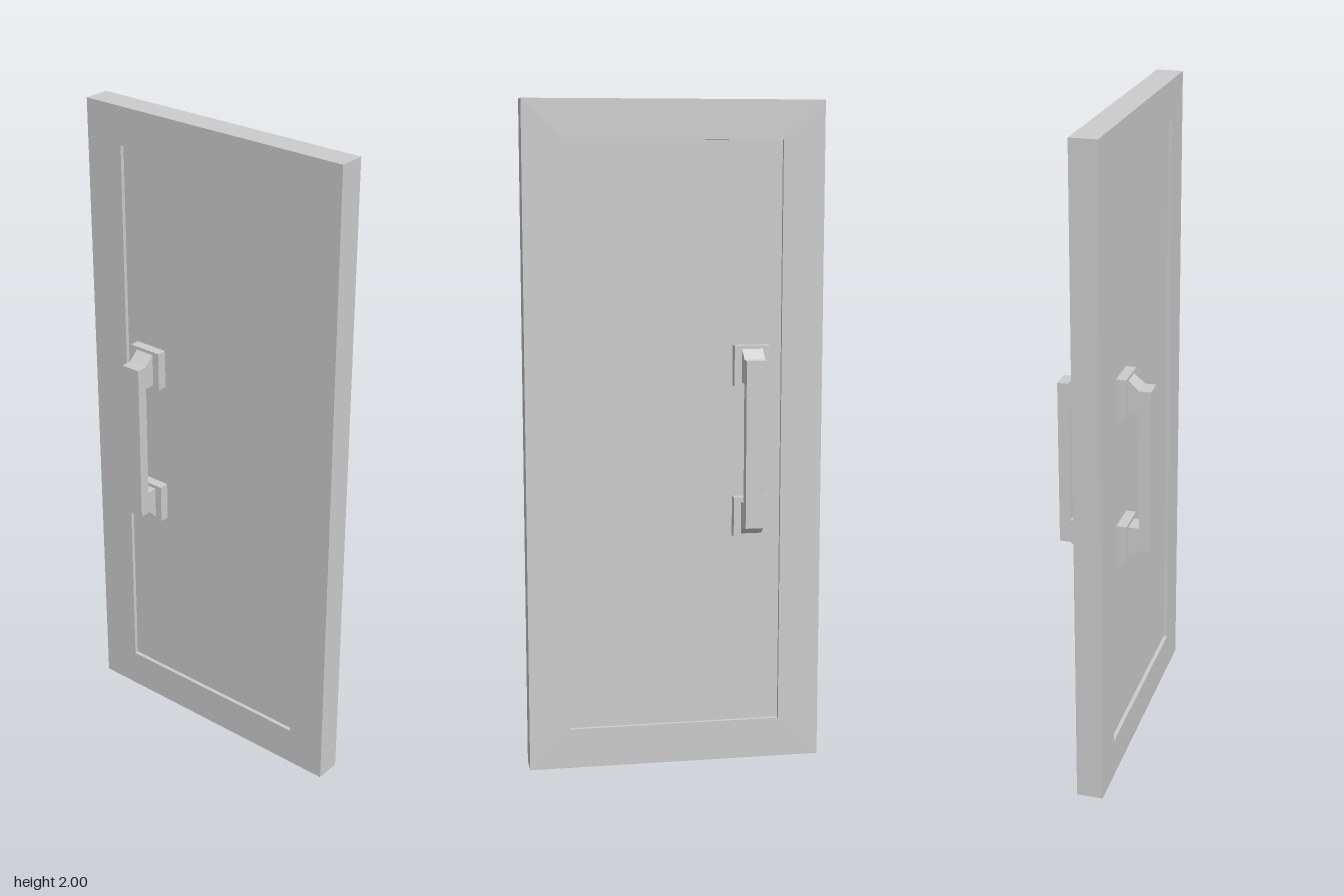
import * as THREE from 'three';

const grey = new THREE.MeshStandardMaterial({ color: 0xcccccc });
grey.name = 'plain grey';

// Slab faces and panel recess depth
const BACK = -0.047, FRONT = 0.033, RECESS = 0.012;

function part(name, geometry, x = 0, y = 0, z = 0) {
  const mesh = new THREE.Mesh(geometry, grey);
  mesh.name = name;
  mesh.position.set(x, y, z);
  return mesh;
}

function polygon(points, Type = THREE.Shape) {
  return new Type(points.map(([x, y]) => new THREE.Vector2(x, y)));
}

function rect(x0, y0, x1, y1, Type) {
  return polygon([[x0, y0], [x1, y0], [x1, y1], [x0, y1]], Type);
}

// Door leaf: a full-thickness frame around a thinner panel
function makeLeaf() {
  const leaf = new THREE.Group();
  leaf.name = 'doorLeaf';
  const outline = rect(-0.447, 0, 0.447, 2);
  outline.holes.push(rect(-0.325, 0.122, 0.322, 1.885, THREE.Path));
  const frame = new THREE.ExtrudeGeometry(outline, { depth: FRONT - BACK, bevelEnabled: false });
  frame.rotateY(Math.PI / 2);
  leaf.add(part('frame', frame, BACK));
  const panel = new THREE.BoxGeometry(FRONT - BACK - 2 * RECESS, 1.763, 0.647);
  leaf.add(part('panel', panel, (FRONT + BACK) / 2, 1.0035, 0.0015));
  return leaf;
}

// Pull handle: two mounting plates and a grip with sloped shoulders
function makeHandle(side) {
  const handle = new THREE.Group();
  handle.name = side > 0 ? 'leftHandle' : 'rightHandle';
  const middle = 0.997, z = -0.2245;

  for (const end of [1, -1]) {
    const plate = new THREE.BoxGeometry(0.03, 0.12, 0.107);
    handle.add(part(end > 0 ? 'upperPlate' : 'lowerPlate', plate, side * 0.057, middle + end * 0.228, z));
  }

  const upper = [[0.104, 0.179], [0.07, 0.179], [0.07, 0.28], [0.104, 0.25], [0.137, 0.25]];
  const lower = upper.map(([x, y]) => [x, -y]).reverse();
  const profile = polygon([...upper, ...lower].map(([x, y]) => [side * x, y]));
  const grip = new THREE.ExtrudeGeometry(profile, { depth: 0.062, bevelEnabled: false });
  grip.translate(0, 0, -0.031);
  handle.add(part('grip', grip, 0, middle, z));

  handle.position.x = -0.0015;
  return handle;
}

export function createModel() {
  const door = new THREE.Group();
  door.name = 'door';
  door.add(makeLeaf(), makeHandle(1), makeHandle(-1));
  return door;
}
